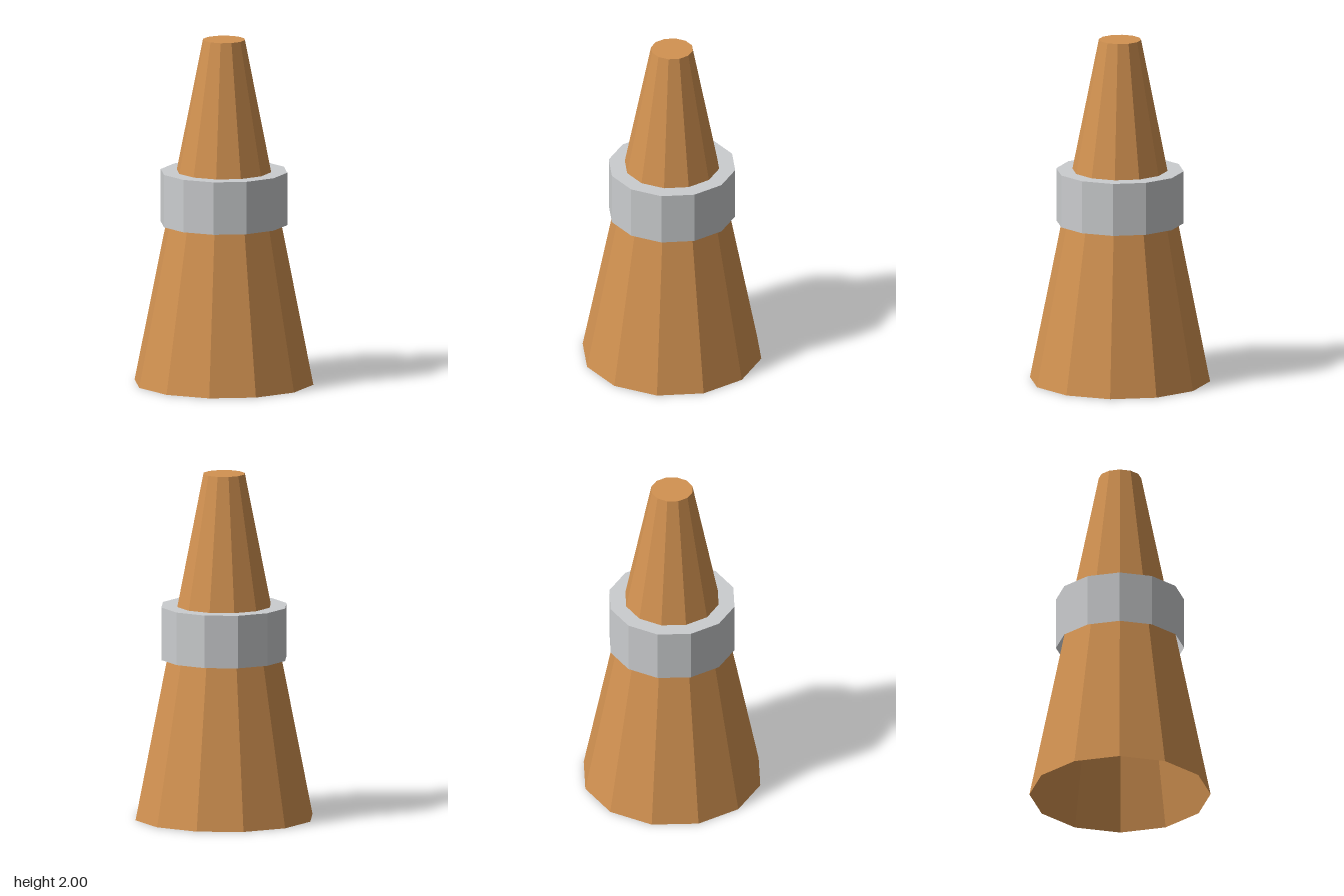
import * as THREE from 'three';

const SIDES = 12;

// Faceted shell closed on top and open underneath, from [radius, height] pairs
function shell(name, profile, material) {
  const points = profile.map(([r, y]) => new THREE.Vector2(r, y));
  const geometry = new THREE.LatheGeometry(points, SIDES).toNonIndexed();
  geometry.computeVertexNormals();
  const mesh = new THREE.Mesh(geometry, material);
  mesh.name = name;
  return mesh;
}

export function createModel() {
  const orange = new THREE.MeshStandardMaterial({ color: 0xd29251, flatShading: true, side: THREE.DoubleSide });
  orange.name = 'orange';
  const grey = new THREE.MeshStandardMaterial({ color: 0xcbcdcf, flatShading: true, side: THREE.DoubleSide });
  grey.name = 'light grey';

  const model = new THREE.Group();
  model.name = 'cone';

  // Hollow tapered body with a flat tip
  model.add(shell('coneBody', [[0.52, 0], [0.122, 2], [0, 2]], orange));

  // Collar around the middle, its top meeting the body
  model.add(shell('collar', [[0.368, 0.927], [0.368, 1.233], [0.274, 1.233]], grey));

  return model;
}
